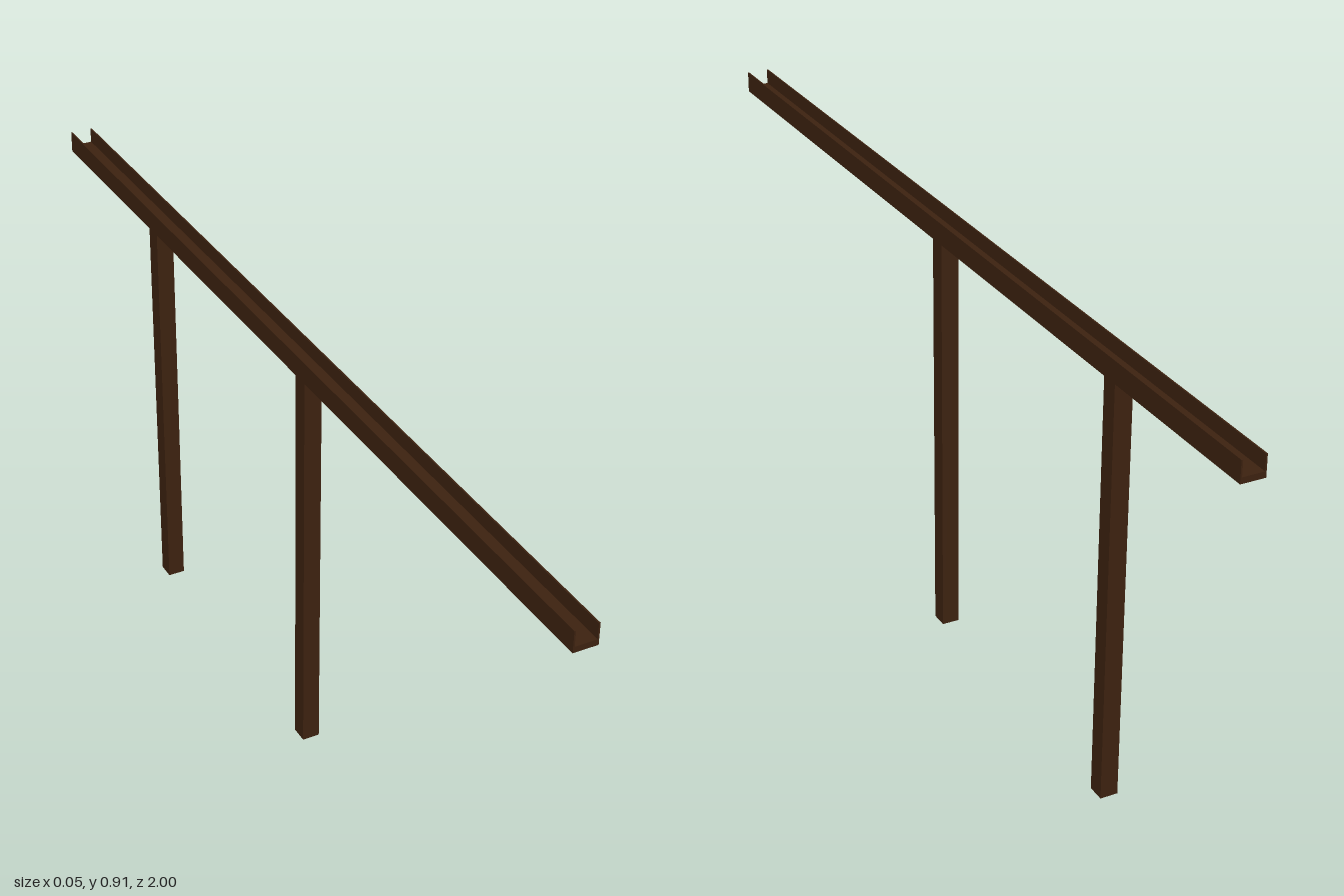
import * as THREE from 'three';

export function createModel() {
  const model = new THREE.Group();
  model.name = 'trough';
  const wood = new THREE.MeshStandardMaterial({ color: 0x3d2210 });
  wood.name = 'dark wood';

  // Box given by its lower and upper corner
  function box(name, [x0, y0, z0], [x1, y1, z1]) {
    const mesh = new THREE.Mesh(new THREE.BoxGeometry(x1 - x0, y1 - y0, z1 - z0), wood);
    mesh.position.set((x0 + x1) / 2, (y0 + y1) / 2, (z0 + z1) / 2);
    mesh.name = name;
    model.add(mesh);
  }

  // Open-ended channel: one U-shaped section run along z
  const half = 0.024, bottom = 0.865, floor = 0.877, top = 0.908, wall = 0.003;
  const section = new THREE.Shape([
    [-half, bottom], [half, bottom], [half, top], [half - wall, top],
    [half - wall, floor], [-half + wall, floor], [-half + wall, top], [-half, top],
  ].map(([x, y]) => new THREE.Vector2(x, y)));
  const channelGeometry = new THREE.ExtrudeGeometry(section, { depth: 2, bevelEnabled: false });
  channelGeometry.translate(0, 0, -1);
  const channel = new THREE.Mesh(channelGeometry, wood);
  channel.name = 'channel';
  model.add(channel);

  // Square posts; the front one stands slightly higher
  const r = 0.018;
  for (const [name, z, foot] of [['frontPost', 0.068, 0.007], ['backPost', -0.588, 0]]) {
    box(name, [-r, foot, z - r], [r, bottom, z + r]);
  }
  return model;
}
